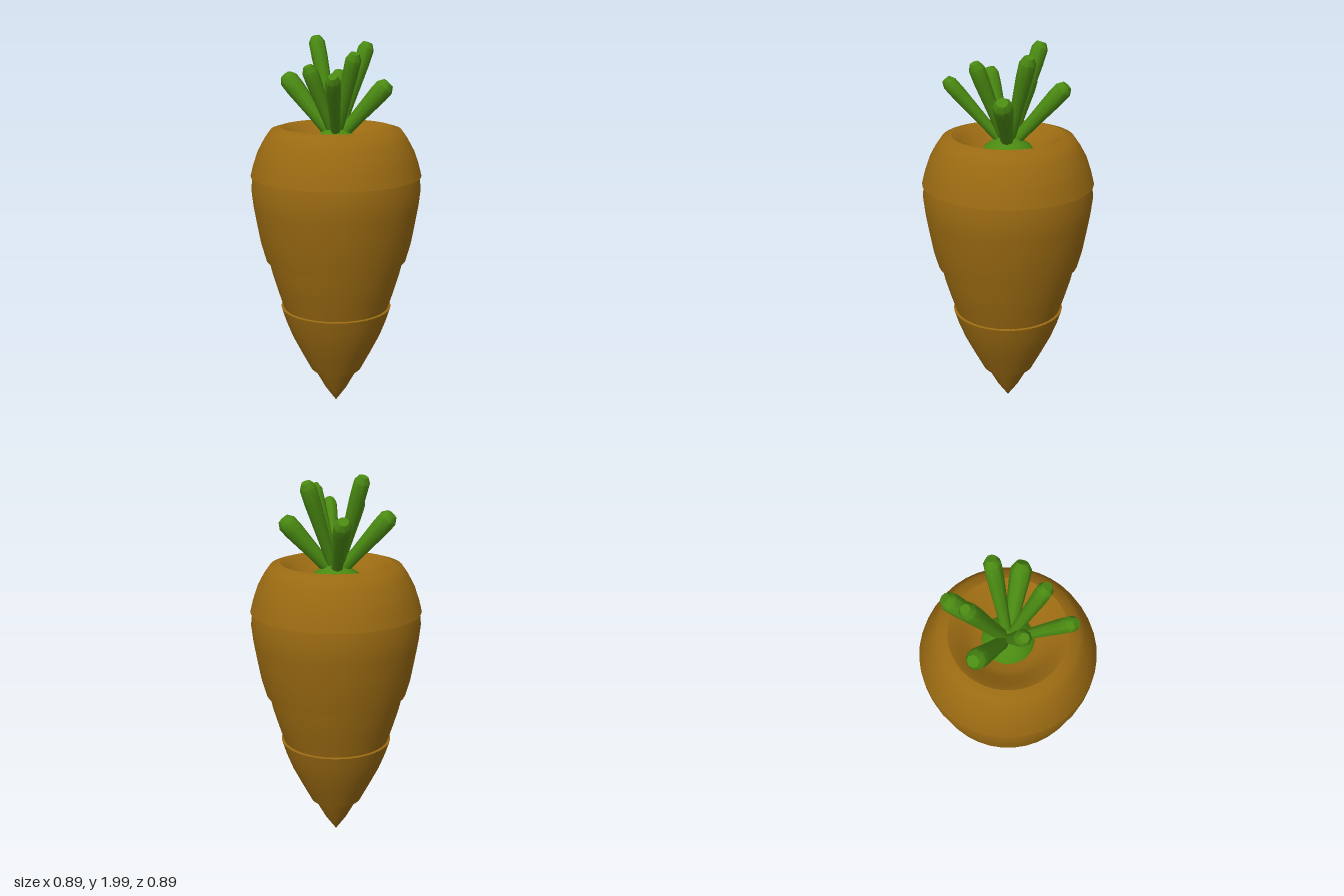
import * as THREE from 'three';
import { toCreasedNormals } from 'three/addons/utils/BufferGeometryUtils.js';

const orange = new THREE.MeshStandardMaterial({ color: 0x9a6a12 });
const green = new THREE.MeshStandardMaterial({ color: 0x4a8a12 });

// Turned solid from [radius, height] pairs, listed from bottom to top
function turned(name, profile, sides, material, crease) {
  const points = profile.map(([r, y]) => new THREE.Vector2(r, y));
  const geometry = toCreasedNormals(new THREE.LatheGeometry(points, sides), crease);
  const mesh = new THREE.Mesh(geometry, material);
  mesh.name = name;
  return mesh;
}

// Stalk that widens away from the crown and ends in a bevelled tip
function stalk(base, tip, radius) {
  const dir = tip.clone().sub(base);
  const len = dir.length();
  const mesh = turned('stalk', [
    [0, 0], [radius * 0.6, 0], [radius * 0.75, len * 0.4], [radius, len * 0.8],
    [radius, len - 0.03], [radius * 0.6, len], [0, len],
  ], 8, green, 0.85);
  mesh.position.copy(base);
  mesh.quaternion.setFromUnitVectors(new THREE.Vector3(0, 1, 0), dir.normalize());
  return mesh;
}

export function createModel() {
  const model = new THREE.Group();
  model.name = 'carrot';

  // Root: stepped rings, with a shallow bowl in the top
  model.add(turned('root', [
    [0, 0], [0.06, 0.085], [0.122, 0.2],
    [0.138, 0.2], [0.19, 0.3], [0.24, 0.4], [0.275, 0.49], [0.297, 0.56],
    [0.284, 0.563], [0.315, 0.66], [0.342, 0.75], [0.36, 0.828],
    [0.375, 0.83], [0.4, 0.92], [0.418, 1.02], [0.435, 1.12], [0.445, 1.21], [0.437, 1.28],
    [0.447, 1.28], [0.432, 1.34], [0.408, 1.41], [0.375, 1.47], [0.34, 1.52],
    [0.29, 1.535], [0.25, 1.515], [0.21, 1.48], [0.16, 1.455], [0, 1.45],
  ], 40, orange, 0.75));

  // Leafy top: flared crown with eight stalks spreading from it
  const top = new THREE.Group();
  top.name = 'leafyTop';
  top.add(turned('crown', [
    [0.135, 1.445], [0.12, 1.475], [0.08, 1.5], [0.04, 1.53], [0, 1.56],
  ], 16, green, 1));
  const base = new THREE.Vector3(0, 1.46, 0);
  const stalks = [
    // tip x, y, z, radius
    [-0.085, 1.79, -0.275, 0.05],
    [0.06, 1.985, -0.19, 0.042],
    [0.235, 1.79, -0.18, 0.047],
    [-0.165, 1.85, -0.045, 0.04],
    [0.185, 1.955, 0.06, 0.042],
    [0.155, 1.76, 0.22, 0.05],
    [-0.065, 1.915, 0.175, 0.04],
    [-0.25, 1.815, 0.19, 0.038],
  ];
  for (const [x, y, z, r] of stalks) top.add(stalk(base, new THREE.Vector3(x, y, z), r));
  model.add(top);

  return model;
}
